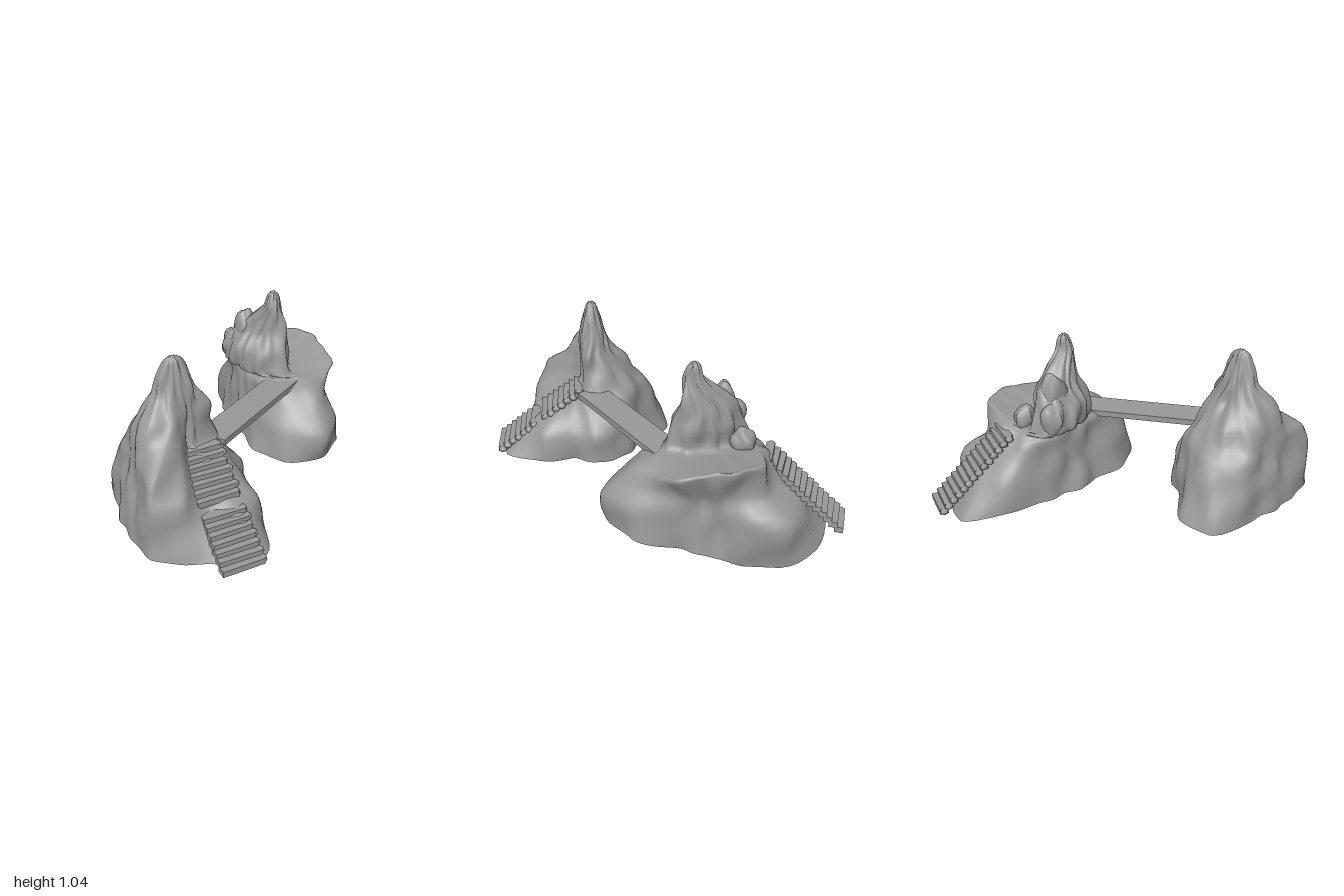
import * as THREE from 'three';

const SIDES = 16;
const rock = new THREE.MeshStandardMaterial({ color: 0x999999 });
rock.name = 'grey stone';

// A row of a mountain: height, centre and either 16 polar radii or two ellipse radii (turned by spin).
// lift raises the side toward +x, slightly to the back.
function ringPoints({ y, c, r, lift = 0, spin = 0 }, drop) {
  return Array.from({ length: SIDES }, (_, k) => {
    const a = (k / SIDES) * Math.PI * 2, cos = Math.cos(a), sin = Math.sin(a);
    const polar = r.length === 2
      ? 1 / Math.hypot(Math.cos(a - spin) / r[0], Math.sin(a - spin) / r[1]) : r[k];
    const p = new THREE.Vector3(c[0] + cos * polar, y + lift * Math.max(0, Math.cos(a + 0.4)), c[1] + sin * polar);
    p.y -= drop(p.x, p.z) * THREE.MathUtils.clamp((0.34 - y) / 0.2, 0, 1);
    return p;
  });
}

// Smooth loft through the rows, roughened with vertical flutes
function mountain(name, rows, drop = () => 0, seed = 0) {
  const grid = rows.map((row) => ringPoints(row, drop));
  const U = 80, V = 48, pos = [], index = [];
  const columns = Array.from({ length: SIDES }, (_, k) =>
    new THREE.CatmullRomCurve3(grid.map((ring) => ring[k]), false, 'catmullrom', 0.4));
  for (let j = 0; j <= V; j++) {
    const loop = new THREE.CatmullRomCurve3(columns.map((col) => col.getPoint(j / V)), true, 'catmullrom', 0.4);
    const mid = loop.points.reduce((s, p) => s.add(p), new THREE.Vector3()).divideScalar(SIDES);
    for (let i = 0; i < U; i++) {
      const p = loop.getPoint(i / U), a = (i / U) * Math.PI * 2;
      const d = p.clone().sub(mid).setY(0), len = d.length();
      const n = Math.sin(a * 9 + p.y * 8 + seed) * 0.5 + Math.sin(a * 14 - p.y * 17 + seed * 2) * 0.35
        + Math.sin(a * 5 + p.y * 26) * 0.3;
      p.addScaledVector(d, (n * Math.min(0.014, len * 0.12)) / len);
      pos.push(p.x, p.y, p.z);
    }
  }
  for (let j = 0; j < V; j++) {
    for (let i = 0; i < U; i++) {
      const a = j * U + i, b = j * U + ((i + 1) % U);
      index.push(a, a + U, b, b, a + U, b + U);
    }
  }
  const group = new THREE.Group();
  group.name = name;
  const add = (part, positions, faces) => {
    const g = new THREE.BufferGeometry();
    g.setAttribute('position', new THREE.Float32BufferAttribute(positions, 3));
    g.setIndex(faces);
    g.computeVertexNormals();
    const m = new THREE.Mesh(g, rock);
    m.name = part;
    group.add(m);
  };
  add('rockFace', pos, index);
  // flat underside
  const [cx, cz] = rows[0].c, base = pos.slice(0, U * 3), fan = [];
  base.push(cx, rows[0].y - drop(cx, cz), cz);
  for (let i = 0; i < U; i++) fan.push(U, i, (i + 1) % U);
  add('underside', base, fan);
  return group;
}

// Lumpy boulder
function crag(name, center, size, seed) {
  const g = new THREE.SphereGeometry(1, 16, 12), p = g.attributes.position;
  for (let i = 0; i < p.count; i++) {
    const x = p.getX(i), y = p.getY(i), z = p.getZ(i);
    const s = 1 + 0.1 * Math.sin(x * 4 + seed) + 0.1 * Math.sin(z * 5 - y * 3 + seed);
    p.setXYZ(i, x * s * size[0], y * s * size[1], z * s * size[2]);
  }
  g.computeVertexNormals();
  const m = new THREE.Mesh(g, rock);
  m.name = name;
  m.position.set(...center);
  return m;
}

// Straight flight of uneven slabs from the low end to the high end, with one step missing at gap
function stairs(name, low, high, width, count, gap = -1) {
  const group = new THREE.Group();
  group.name = name;
  const a = new THREE.Vector3(...low), b = new THREE.Vector3(...high);
  const run = Math.hypot(b.x - a.x, b.z - a.z) / count;
  for (let i = 0; i < count; i++) {
    if (i === gap) continue;
    const step = new THREE.Group();
    step.name = 'step';
    step.position.lerpVectors(a, b, (i + 0.5) / count);
    step.rotation.y = Math.atan2(b.x - a.x, b.z - a.z) + Math.PI + 0.02 * Math.sin(i * 5);
    const slab = new THREE.Mesh(new THREE.BoxGeometry(width, 0.034, run * 1.5), rock);
    slab.name = 'slab';
    const end = new THREE.Mesh(new THREE.SphereGeometry(1, 8, 6), rock);
    end.name = 'roundedEnd';
    end.scale.set(0.022 + 0.008 * Math.sin(i * 3), 0.02, run * 0.72);
    end.position.x = width / 2;
    step.add(slab, end);
    group.add(step);
  }
  return group;
}

export function createModel() {
  const model = new THREE.Group();
  model.name = 'twinPeaksWithBridge';

  // Right-hand peak, with a jutting slab beside the steps
  const A = [-0.48, 0.4], tipA = [-0.5, 0.37];
  model.add(mountain('rightMountain', [
    { y: 0.14, c: A, r: [.36, .34, .45, .58, .52, .45, .45, .37, .35, .34, .43, .53, .48, .36, .35, .37] },
    { y: 0.31, c: A, r: [.36, .33, .42, .40, .36, .40, .44, .34, .32, .33, .40, .46, .41, .34, .34, .36] },
    { y: 0.43, c: A, r: [.29, .25, .26, .22, .18, .37, .43, .31, .28, .30, .37, .40, .37, .32, .31, .29] },
    { y: 0.50, c: A, r: [.24, .20, .18, .13, .10, .28, .40, .30, .27, .29, .34, .36, .34, .30, .30, .26] },
    { y: 0.56, c: A, r: [.21, .12, .08, .06, .06, .20, .36, .30, .26, .27, .30, .30, .28, .27, .26, .22] },
    { y: 0.66, c: A, r: [.17, .10, .06, .05, .05, .12, .22, .26, .24, .25, .26, .24, .21, .20, .20, .18] },
    { y: 0.75, c: A, r: [.16, .10, .06, .05, .05, .09, .14, .20, .22, .20, .18, .15, .13, .13, .14, .15] },
    { y: 0.85, c: tipA, r: [0.115, 0.075] },
    { y: 0.95, c: tipA, r: [0.085, 0.05] },
    { y: 1.02, c: tipA, r: [0.05, 0.03] },
    { y: 1.05, c: tipA, r: [0.006, 0.006] },
  ], undefined, 1));

  // Left-hand peak with a wide shelf; its base sinks toward the back
  const B = [0.45, -0.25], clamp = THREE.MathUtils.clamp;
  const sink = (x, z) => 0.13 * clamp((x - 0.25) / 0.35, 0, 1) * clamp((0.2 - z) / 0.6, 0, 1)
    * clamp((1.2 + z) / 0.5, 0.4, 1);
  model.add(mountain('leftMountain', [
    { y: 0.14, c: B, r: [.27, .27, .32, .49, .58, .57, .45, .33, .31, .30, .36, .49, .66, .60, .47, .33] },
    { y: 0.31, c: B, r: [.24, .25, .31, .47, .60, .54, .39, .28, .27, .27, .33, .46, .52, .50, .52, .36] },
    { y: 0.42, c: B, r: [.25, .25, .29, .40, .51, .45, .34, .26, .25, .26, .31, .38, .39, .38, .34, .28] },
    { y: 0.51, c: B, r: [.30, .32, .36, .36, .41, .37, .32, .25, .24, .26, .30, .32, .29, .28, .33, .32], lift: 0.1 },
    { y: 0.545, c: B, r: [.25, .26, .27, .28, .31, .29, .27, .23, .23, .24, .27, .28, .24, .24, .26, .26], lift: 0.06 },
    { y: 0.56, c: [0.31, -0.24], r: [0.14, 0.25], spin: -0.3 },
    { y: 0.68, c: [0.31, -0.23], r: [0.14, 0.21], spin: -0.4 },
    { y: 0.78, c: [0.335, -0.23], r: [0.1, 0.17], spin: -0.4 },
    { y: 0.87, c: [0.35, -0.19], r: [0.07, 0.11], spin: -0.4 },
    { y: 0.95, c: [0.355, -0.15], r: [0.048, 0.055] },
    { y: 1.02, c: [0.36, -0.15], r: [0.03, 0.035] },
    { y: 1.05, c: [0.36, -0.15], r: [0.005, 0.005] },
  ], sink, 4));
  model.add(crag('spireShoulder', [0.27, 0.75, -0.32], [0.06, 0.13, 0.075], 5));
  model.add(crag('spireFoot', [0.22, 0.64, -0.38], [0.08, 0.1, 0.08], 2));
  model.add(crag('shelfBoulder', [0.42, 0.59, -0.42], [0.06, 0.075, 0.07], 3));

  // Plank bridge between the shelves
  const from = new THREE.Vector3(-0.31, 0.532, 0.4), to = new THREE.Vector3(0.41, 0.522, -0.03);
  const bridge = new THREE.Mesh(new THREE.BoxGeometry(from.distanceTo(to), 0.035, 0.17), rock);
  bridge.name = 'bridge';
  bridge.position.lerpVectors(from, to, 0.5);
  bridge.rotation.set(0, Math.atan2(from.z - to.z, to.x - from.x), -0.012);
  model.add(bridge);

  // Ledge joining the front flight to the bridge
  const ledge = new THREE.Mesh(new THREE.BoxGeometry(0.25, 0.03, 0.1), rock);
  ledge.name = 'ledge';
  ledge.position.set(-0.405, 0.525, 0.44);
  model.add(ledge);

  // Flights of steps
  model.add(stairs('frontStairs', [-0.415, 0.14, 0.98], [-0.415, 0.545, 0.45], 0.23, 15, 7));
  model.add(stairs('backStairs', [0.605, 0.15, -0.955], [0.455, 0.545, -0.535], 0.18, 14));
  return model;
}
